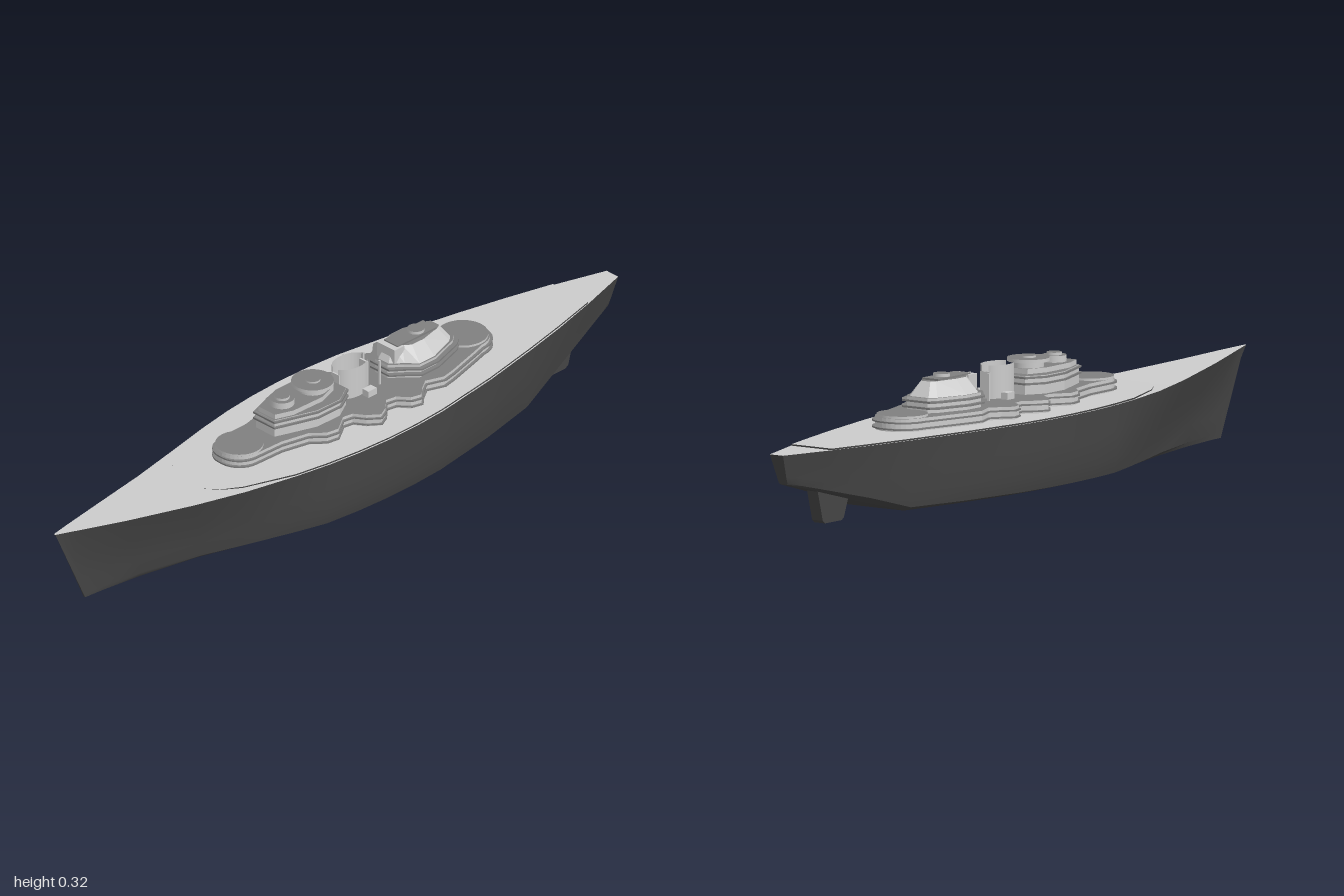
import * as THREE from 'three';
import { toCreasedNormals } from 'three/addons/utils/BufferGeometryUtils.js';

const mat = (color) => new THREE.MeshStandardMaterial({ color, side: THREE.DoubleSide });
const LIGHT = mat(0xcccccc), DARK = mat(0x808080), HULL = mat(0x444444);

// Stations: z at deck, half beam, deck height, keel height, lower beam / deck beam
const STATIONS = [
  [1, 0.003, 0.24, 0.012, 1], [0.93, 0.022, 0.234, 0.012, 0.45], [0.8, 0.056, 0.222, 0.012, 0.52],
  [0.6, 0.104, 0.207, 0.012, 0.72], [0.45, 0.14, 0.201, 0.012, 0.86], [0.3, 0.172, 0.2, 0.012, 0.95],
  [0.2, 0.189, 0.2, 0.012, 1], [0.1, 0.2, 0.2, 0.012, 1], [0, 0.205, 0.2, 0.012, 1],
  [-0.1, 0.204, 0.2, 0.012, 1], [-0.2, 0.197, 0.2, 0.012, 1], [-0.4, 0.168, 0.2, 0.012, 0.97],
  [-0.58, 0.132, 0.2, 0.013, 0.92], [-0.71, 0.103, 0.2, 0.052, 0.86], [-0.85, 0.066, 0.2, 0.085, 0.8],
  [-0.95, 0.036, 0.2, 0.108, 0.75], [-1, 0.021, 0.2, 0.12, 0.7],
];

// Right half of one hull section, from deck edge to keel
function halfSection([s, w, top, keel, low]) {
  const lw = w * low;
  const pts = [[w, 0.2], [(w + lw) / 2, 0.13], [lw, 0.062], [lw * 0.95, 0.023], [lw * 0.76, 0.0125], [0, 0.012]];
  return pts.map(([x, h]) => {
    const f = (h - 0.012) / 0.188;
    const y = keel + f * (top - keel);
    let z = s;
    if (s > 0.2) z = 0.2 + (s - 0.2) * (0.693 + 0.107 * f ** 1.8) / 0.8; // raked stem
    if (s < -0.7) z = s + 0.03 * (1 - f) * (-s - 0.7) / 0.3; // raked stern
    return [x, y, z];
  });
}

function indexed(points, index) {
  const g = new THREE.BufferGeometry();
  g.setAttribute('position', new THREE.Float32BufferAttribute(points.flat(), 3));
  g.setIndex(index);
  return toCreasedNormals(g, 0.5);
}

function hullGeometries() {
  const points = [], skin = [], deck = [];
  for (const st of STATIONS) {
    const half = halfSection(st);
    points.push(...half, ...half.slice(0, -1).reverse().map(([x, y, z]) => [-x, y, z]));
  }
  const n = 11, last = (STATIONS.length - 1) * n;
  for (let i = 0; i < STATIONS.length - 1; i++) {
    const o = i * n;
    for (let j = 0; j < n - 1; j++) {
      const a = o + j, c = a + n;
      skin.push(a, a + 1, c, a + 1, c + 1, c);
    }
    deck.push(o, o + n, o + n - 1, o + n, o + 2 * n - 1, o + n - 1);
  }
  for (let j = 1; j < n - 1; j++) skin.push(0, j + 1, j, last, last + j, last + j + 1);
  return [indexed(points, skin), indexed(points, deck)];
}

// Rounded end of a half outline: quarter arc from angle a to b
function arc(r, zc, a, b, steps = 8) {
  return Array.from({ length: steps + 1 }, (_, i) => {
    const t = a + (b - a) * i / steps;
    return [r * Math.sin(t), zc + r * Math.cos(t)];
  });
}

// Mirrored half outline [x, z] raised between two heights, with cap and wall colours
function slab(name, half, y0, y1, cap = DARK, wall = LIGHT) {
  const pts = [...half, ...[...half].reverse().map(([x, z]) => [-x, z])];
  const shape = new THREE.Shape(pts.map(([x, z]) => new THREE.Vector2(x, -z)));
  const g = new THREE.ExtrudeGeometry(shape, { depth: y1 - y0, bevelEnabled: false });
  g.rotateX(-Math.PI / 2).translate(0, y0, 0);
  const m = new THREE.Mesh(g, [cap, wall]);
  m.name = name;
  return m;
}

const grow = (half, dx, zc, k) => half.map(([x, z]) => [x > 0.001 ? x + dx : x, zc + (z - zc) * k]);

function drum(name, r, y0, y1, x, z, cap = DARK, wall = LIGHT, sides = 24) {
  const m = new THREE.Mesh(new THREE.CylinderGeometry(r, r, y1 - y0, sides), [wall, cap, cap]);
  m.position.set(x, (y0 + y1) / 2, z);
  m.name = name;
  return m;
}

function box(name, w, h, d, x, y, z, material = LIGHT) {
  const m = new THREE.Mesh(new THREE.BoxGeometry(w, h, d), material);
  m.position.set(x, y, z);
  m.name = name;
  return m;
}

export function createModel() {
  const ship = new THREE.Group();
  ship.name = 'warship';
  const PI = Math.PI;

  // Hull and weather deck
  const [skin, deck] = hullGeometries();
  const hull = new THREE.Mesh(skin, HULL);
  hull.name = 'hull';
  const weather = new THREE.Mesh(deck, LIGHT);
  weather.name = 'weatherDeck';
  ship.add(hull, weather);

  // Slightly raised main deck with a rounded front and straight stern edge
  const mainDeck = [[0, 0.54], [0.05, 0.525], [0.09, 0.49], [0.12, 0.44],
    ...STATIONS.slice(5, 14).map(([z, w]) => [w - 0.004, z]), [0.064, -0.85]];
  ship.add(slab('mainDeck', mainDeck, 0.195, 0.204, LIGHT, HULL));

  // Rudder
  const rudderShape = new THREE.Shape([[-0.7, 0.1], [-0.735, 0.008], [-0.745, 0.002], [-0.815, 0.002],
    [-0.825, 0.01], [-0.85, 0.1]].map(([z, y]) => new THREE.Vector2(z, y)));
  const rudderGeo = new THREE.ExtrudeGeometry(rudderShape, { depth: 0.034, bevelEnabled: false });
  const rudder = new THREE.Mesh(rudderGeo.rotateY(-PI / 2).translate(0.017, 0, 0), HULL);
  rudder.name = 'rudder';
  ship.add(rudder);

  // Lower deckhouse with side sponsons and walkways
  const house = [...arc(0.062, 0.338, 0, PI / 2), [0.064, 0.25], [0.082, 0.17], [0.113, 0.135], [0.119, 0.1],
    [0.085, 0.05], [0.09, 0.02], [0.12, 0], [0.143, -0.03], [0.128, -0.06], [0.1, -0.09], [0.105, -0.12],
    [0.135, -0.145], [0.143, -0.175], [0.12, -0.2], [0.1, -0.23], [0.118, -0.28], [0.11, -0.32],
    [0.08, -0.43], ...arc(0.07, -0.463, PI / 2, PI)];
  ship.add(slab('lowerDeckhouse', house, 0.2, 0.237));
  const ledge = grow(house, 0.006, -0.07, 1.01);
  for (const y of [0.208, 0.225]) ship.add(slab('walkway', ledge, y, y + 0.004, DARK, DARK));
  ship.add(drum('forwardGunBase', 0.062, 0.2, 0.243, 0, 0.338), drum('aftGunBase', 0.066, 0.2, 0.243, 0, -0.463));

  // Bridge tower, stepping in upward
  const bridge = [[0.034, 0.245], [0.05, 0.2], [0.074, 0.13], [0.074, 0.05], [0.045, 0.0]];
  ship.add(slab('bridgeBase', bridge, 0.237, 0.285));
  for (const y of [0.262, 0.278]) ship.add(slab('bridgeWalkway', grow(bridge, 0.005, 0.12, 1.04), y, y + 0.005, DARK, DARK));
  const upper = [[0.03, 0.24], [0.048, 0.19], [0.05, 0.09], [0.03, 0.03]];
  ship.add(slab('bridgeUpper', upper, 0.285, 0.298));
  ship.add(drum('forwardDirector', 0.032, 0.298, 0.315, 0, 0.185), drum('directorCap', 0.02, 0.315, 0.322, 0, 0.185));
  ship.add(drum('bridgeTower', 0.04, 0.29, 0.315, 0, 0.075), drum('bridgeRoof', 0.055, 0.313, 0.322, 0, 0.075));
  ship.add(drum('bridgeRoofCap', 0.02, 0.322, 0.327, 0, 0.075));

  // Open funnel with thin walls and slotted sides
  const funnel = new THREE.Group();
  funnel.name = 'funnel';
  for (const start of [0.3, PI + 0.3]) {
    const g = new THREE.CylinderGeometry(0.036, 0.036, 0.086, 16, 1, true, start, PI - 0.6);
    g.scale(1, 1, 1.5);
    const wall = new THREE.Mesh(g, LIGHT);
    wall.name = 'funnelWall';
    wall.position.set(0, 0.28, -0.058);
    funnel.add(wall);
  }
  funnel.add(box('funnelFrontPlate', 0.03, 0.07, 0.005, 0, 0.272, -0.008), box('funnelRearPlate', 0.03, 0.07, 0.005, 0, 0.272, -0.108));
  ship.add(funnel);

  // Small mounts and posts on both sides
  for (const s of [-1, 1]) {
    ship.add(box('deckLocker', 0.022, 0.018, 0.03, s * 0.05, 0.246, -0.08));
    ship.add(box('post', 0.005, 0.07, 0.005, s * 0.03, 0.272, -0.135));
  }

  // Aft control block with a sloping roof
  const aft = [[0.035, -0.165], [0.062, -0.2], [0.09, -0.23], [0.09, -0.29], [0.06, -0.385], [0.045, -0.405]];
  ship.add(slab('aftBase', grow(aft, -0.012, -0.28, 0.95), 0.237, 0.275));
  for (const y of [0.247, 0.263]) ship.add(slab('aftWalkway', aft, y, y + 0.005, DARK, DARK));
  ship.add(box('aftFrontBlock', 0.064, 0.06, 0.035, 0, 0.285, -0.205));
  const roof = slab('aftRoof', grow(aft, -0.016, -0.28, 0.88), 0.275, 0.313);
  const p = roof.geometry.attributes.position;
  for (let i = 0; i < p.count; i++) {
    if (p.getY(i) > 0.3) {
      p.setX(i, p.getX(i) * 0.52);
      p.setZ(i, -0.27 + (p.getZ(i) + 0.27) * 0.78);
    }
  }
  roof.geometry.computeVertexNormals();
  ship.add(roof, box('aftRoofRidge', 0.05, 0.008, 0.14, 0, 0.314, -0.275, DARK));
  ship.add(drum('aftDirector', 0.022, 0.315, 0.326, 0, -0.295));
  return ship;
}
